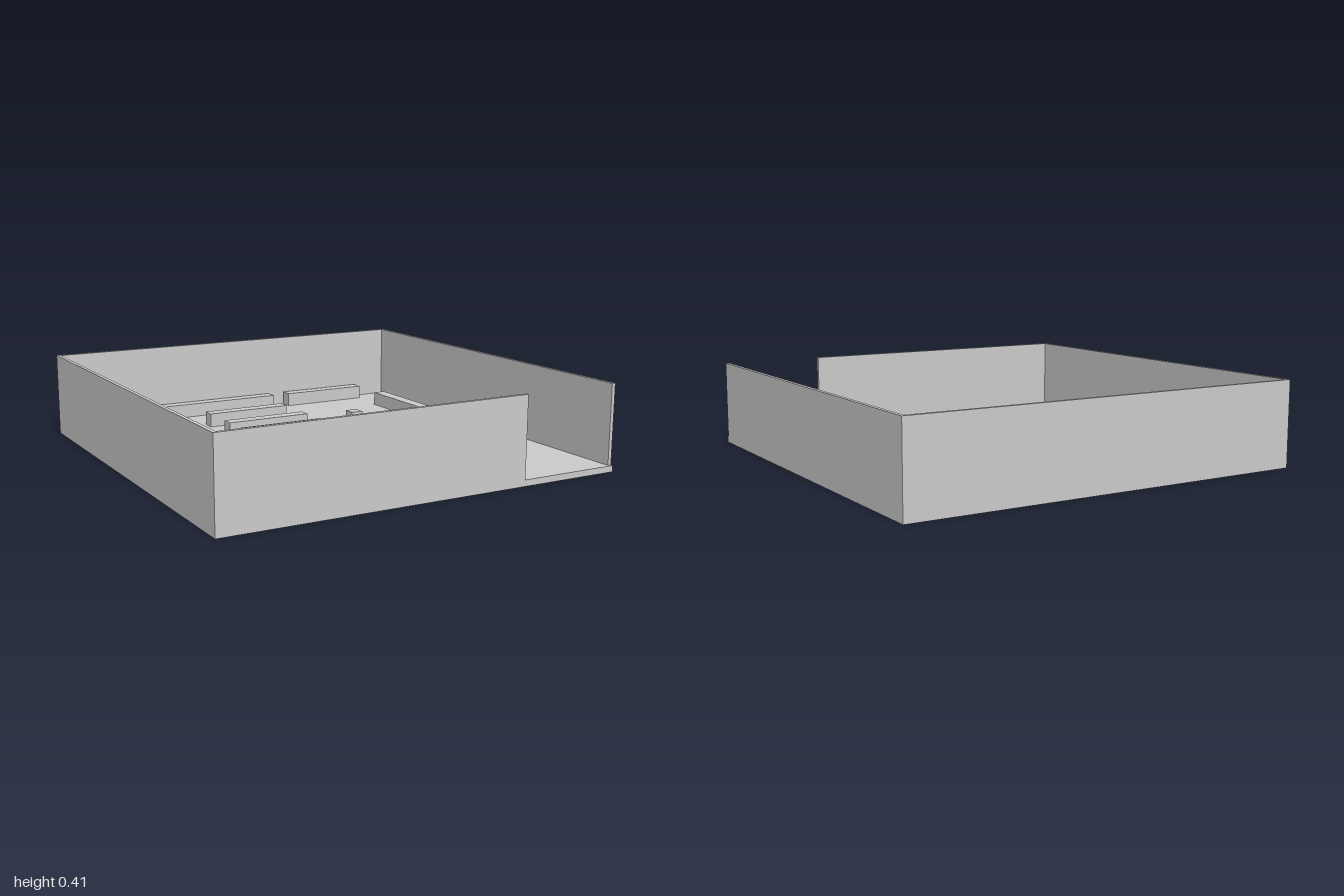
import * as THREE from 'three';

const FLOOR = 0.03, TOP = 0.415, WALL = 0.018;
const SHELF_H = 0.07, STAND_H = 0.037, UNIT = 0.065;

export function createModel() {
  const model = new THREE.Group();
  const material = new THREE.MeshStandardMaterial({ color: 0xcccccc, flatShading: true });

  // Box given by its extents on the ground plan and in height
  function block(name, x0, x1, z0, z1, y0, y1) {
    const mesh = new THREE.Mesh(new THREE.BoxGeometry(x1 - x0, y1 - y0, z1 - z0), material);
    mesh.position.set((x0 + x1) / 2, (y0 + y1) / 2, (z0 + z1) / 2);
    mesh.name = name;
    model.add(mesh);
  }
  const wall = (name, x0, x1, z0, z1) => block(name, x0, x1, z0, z1, FLOOR, TOP);
  const shelf = (name, x0, x1, z0, z1) => block(name, x0, x1, z0, z1, FLOOR, FLOOR + SHELF_H);
  const stand = (x, z) => block('displayStand', x - UNIT / 2, x + UNIT / 2,
    z - UNIT / 2, z + UNIT / 2, FLOOR, FLOOR + STAND_H);

  // Floor and walls, with the entrance at the front left corner
  block('floor', -1, 1, -1, 1, 0, FLOOR);
  wall('backWall', -1, 1, -1, -1 + WALL);
  wall('rightWall', -1, -1 + WALL, -1 + WALL, 1 - WALL);
  wall('leftWall', 1 - WALL, 1, -1 + WALL, 0.988);
  wall('frontWall', -1, 0.49, 1 - WALL, 1);

  // Shelves along the walls
  shelf('backShelfLong', -0.89, 0.215, -0.97, -0.905);
  shelf('backShelfShort', 0.31, 0.785, -0.97, -0.905);
  shelf('rightShelf', -1 + WALL, -0.93, -0.55, 0.55);
  shelf('leftShelfBack', 0.76, 0.825, -0.7, -0.25);
  shelf('leftShelfFront', 0.76, 0.825, 0.02, 0.475);

  // Central aisle shelves
  for (const z of [-0.655, -0.415, -0.225, 0.01, 0.25])
    shelf('aisleShelf', -0.3, 0.15, z - UNIT / 2, z + UNIT / 2);

  // Small stands either side of the aisles
  for (const z of [-0.46, -0.225, -0.015, 0.185, 0.37])
    for (const x of [-0.603, 0.482]) stand(x, z);

  // Two rows of small stands near the front
  for (const x of [-0.245, -0.135, -0.02, 0.113]) stand(x, 0.525);
  for (const x of [-0.245, -0.135, -0.02, 0.123]) stand(x, 0.683);

  return model;
}
